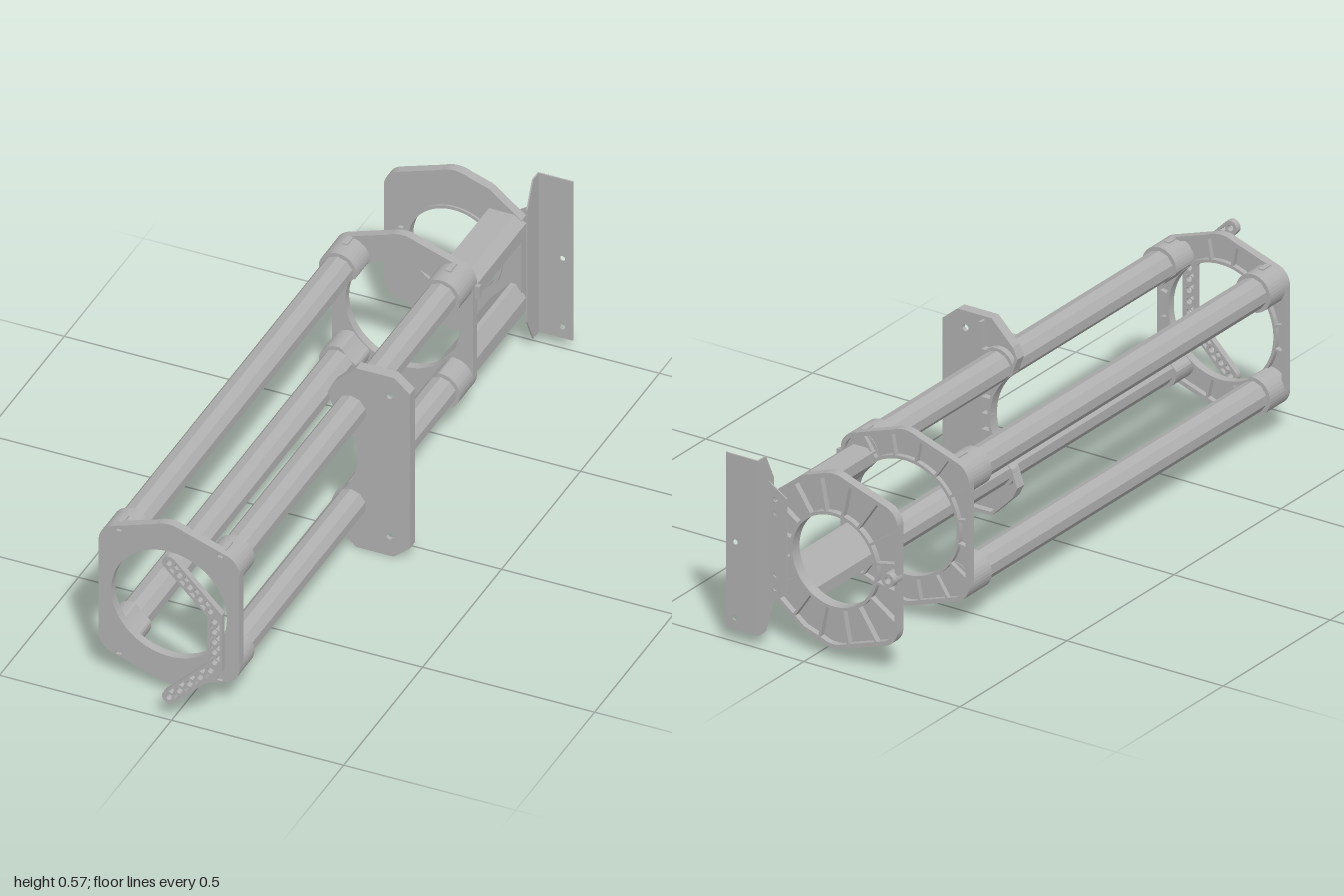
import * as THREE from 'three';

const CX = -0.058, CY = 0.287; // shared axis of the ring frames
const TAU = Math.PI * 2;

export function createModel() {
  const root = new THREE.Group();
  const grey = new THREE.MeshStandardMaterial({ color: 0xb0b0b0 });
  grey.name = 'grey plastic';

  const add = (parent, name, geometry) => {
    const m = new THREE.Mesh(geometry, grey);
    m.name = name;
    parent.add(m);
    return m;
  };
  const group = (name) => {
    const g = new THREE.Group();
    g.name = name;
    root.add(g);
    return g;
  };
  // Extrude a shape drawn in x and y between two z values
  const slab = (shape, z0, z1, seg = 16) =>
    new THREE.ExtrudeGeometry(shape, { depth: z1 - z0, bevelEnabled: false, curveSegments: seg }).translate(0, 0, z0);
  const box = (x0, x1, y0, y1, z0, z1) =>
    new THREE.BoxGeometry(x1 - x0, y1 - y0, z1 - z0).translate((x0 + x1) / 2, (y0 + y1) / 2, (z0 + z1) / 2);
  const circle = (x, y, r) => new THREE.Path().absarc(x, y, r, 0, TAU, true);
  const poly = (pts) => new THREE.Shape(pts.map(([x, y]) => new THREE.Vector2(x, y)));
  const ring = (r0, r1, z0, z1) => {
    const s = new THREE.Shape().absarc(CX, CY, r1, 0, TAU);
    s.holes.push(circle(CX, CY, r0));
    return slab(s, z0, z1, 64);
  };

  // Frame outline: peaked top and bottom, rounded corners
  const outlineShape = new THREE.Shape();
  const a = 1.257;
  outlineShape.moveTo(0.205, -0.15).lineTo(0.205, 0.15);
  outlineShape.absarc(0.15, 0.15, 0.055, 0, a);
  outlineShape.lineTo(0.04, 0.245).quadraticCurveTo(0, 0.265, -0.04, 0.245);
  outlineShape.absarc(-0.15, 0.15, 0.055, Math.PI - a, Math.PI);
  outlineShape.lineTo(-0.205, -0.15);
  outlineShape.absarc(-0.15, -0.15, 0.055, Math.PI, Math.PI + a);
  outlineShape.lineTo(-0.04, -0.245).quadraticCurveTo(0, -0.265, 0.04, -0.245);
  outlineShape.absarc(0.15, -0.15, 0.055, -a, 0);
  const cornerOutline = outlineShape.getPoints(8);
  // Rear plate: the mounting side has long diagonal corners
  const rearOutline = cornerOutline.filter((p) => p.x < 0.06);
  const split = rearOutline.findIndex((p) => p.y > 0);
  rearOutline.splice(split, 0, ...[[0.1, -0.225], [0.195, -0.15], [0.195, 0.15], [0.1, 0.225]]
    .map(([x, y]) => new THREE.Vector2(x, y)));
  rearOutline.sort((p, q) => Math.atan2(p.y, p.x) - Math.atan2(q.y, q.x));

  // Distance from the axis to an outline in one direction
  const reach = (pts, t) => {
    const dx = Math.cos(t), dy = Math.sin(t);
    let best = 0;
    pts.forEach((p, i) => {
      const q = pts[(i + 1) % pts.length], ex = q.x - p.x, ey = q.y - p.y;
      const den = dx * ey - dy * ex;
      if (Math.abs(den) < 1e-9) return;
      const d = (p.x * ey - p.y * ex) / den, u = (p.x * dy - p.y * dx) / den;
      if (u >= 0 && u <= 1) best = Math.max(best, d);
    });
    return best;
  };

  // Frame: thin front face, with rim, collar and radial ribs behind it
  function frame(name, pts, hole, zBack, zFront, notches) {
    const g = group(name);
    const scaled = (k) => pts.map((p) => new THREE.Vector2(CX + p.x * k, CY + p.y * k));
    const zMid = zFront - 0.01;
    const face = new THREE.Shape(scaled(1));
    face.holes.push(circle(CX, CY, hole));
    if (notches) for (const sx of [-1, 1]) for (const sy of [-1, 1]) {
      const x = CX + sx * 0.147, y = CY + sy * 0.198;
      face.holes.push(poly([[x - 0.008, y - 0.006], [x - 0.008, y + 0.006], [x + 0.008, y + 0.006], [x + 0.008, y - 0.006]]));
    }
    add(g, 'face', slab(face, zMid, zFront, 64));
    const rim = new THREE.Shape(scaled(1));
    rim.holes.push(new THREE.Path(scaled(0.95)));
    add(g, 'rim', slab(rim, zBack, zMid));
    add(g, 'collar', ring(hole, hole + 0.009, zBack, zMid));
    for (let i = 0; i < 16; i++) {
      const t = ((i + 0.5) / 16) * TAU, r0 = hole + 0.004, r1 = reach(pts, t) * 0.97;
      if (r1 - r0 < 0.02) continue;
      const rib = add(g, 'rib', new THREE.BoxGeometry(r1 - r0, 0.007, zMid - zBack).translate((r0 + r1) / 2, 0, 0));
      rib.position.set(CX, CY, (zMid + zBack) / 2);
      rib.rotation.z = t;
    }
    return g;
  }
  const front = frame('frontFrame', cornerOutline, 0.168, 0.864, 0.889, true);
  const middle = frame('middleFrame', cornerOutline, 0.166, -0.613, -0.588, true);
  const rear = frame('rearFrame', rearOutline, 0.132, -0.946, -0.918, false);

  // Round bar whose inner side is relieved to clear the ring opening
  function bar(cx, cy, r, sides, z0, z1) {
    const pts = [];
    for (let i = 0; i < sides; i++) {
      const t = ((i + 0.5) / sides) * TAU;
      const p = new THREE.Vector2(cx + r * Math.cos(t) - CX, cy + r * Math.sin(t) - CY);
      if (p.length() < 0.17) p.setLength(0.17);
      pts.push(p.add(new THREE.Vector2(CX, CY)));
    }
    return slab(new THREE.Shape(pts), z0, z1);
  }
  // Four long rails and their end sockets
  const rails = group('rails');
  for (const sx of [-1, 1]) for (const sy of [-1, 1]) {
    const x = CX + sx * 0.15, y = CY + sy * 0.15;
    add(rails, 'rail', bar(x, y, 0.045, 10, -0.59, 0.87));
    add(front, 'socket', bar(x, y, 0.055, 36, 0.795, 0.88));
    add(middle, 'socket', bar(x, y, 0.055, 36, -0.6, -0.505));
    // raised clip on the outside of each socket
    const yc = y + sy * 0.052;
    add(front, 'clip', box(x - 0.008, x + 0.008, yc - 0.006, yc + 0.006, 0.83, 0.87));
    add(middle, 'clip', box(x - 0.008, x + 0.008, yc - 0.006, yc + 0.006, -0.59, -0.55));
  }
  add(middle, 'sideTab', box(0.14, 0.16, 0.39, 0.43, -0.613, -0.6));

  // Two short beams from the middle frame to the rear frame
  const beams = group('rearBeams');
  for (const s of [-1, 1]) {
    const pts = [[0.042, 0.13], [0.042, 0.163], [0.115, 0.163], [0.147, 0.14], [0.147, 0.098], [0.12, 0.058], [0.105, 0.058]]
      .map(([x, y]) => [x, CY + s * y]);
    add(beams, 'beam', slab(poly(pts), -0.925, -0.6));
  }

  // Rear ring lip, tab and side knob
  add(rear, 'lip', ring(0.132, 0.141, -0.918, -0.912));
  add(rear, 'innerTab', box(-0.218, -0.204, 0.257, 0.32, -0.918, -0.908));
  const knob = new THREE.Shape().absarc(-0.245, CY, 0.02, 0, TAU);
  knob.holes.push(circle(-0.245, CY, 0.01));
  add(rear, 'knob', slab(knob, -0.966, -0.925));

  // Bent mounting sheet behind the rear frame
  const sheet = group('mountingSheet');
  const flange = poly([[0.147, 0.035], [0.25, 0.035], [0.25, 0.545], [0.147, 0.545]]);
  for (const y of [0.07, 0.29]) flange.holes.push(circle(0.22, y, 0.008));
  add(sheet, 'flange', slab(flange, -1, -0.996));
  const web = poly([[1, 0.035], [1, 0.545], [0.962, 0.545], [0.925, 0.47], [0.925, 0.11], [0.962, 0.035]]);
  add(sheet, 'web', slab(web, 0, 0.004).rotateY(Math.PI / 2).translate(0.147, 0, 0));
  const tab = poly([[0.09, 0.15], [0.15, 0.11], [0.15, 0.47], [0.09, 0.43]]);
  for (const y of [0.16, 0.2, 0.38, 0.42]) tab.holes.push(circle(0.125, y, 0.007));
  add(sheet, 'tab', slab(tab, -0.95, -0.946));

  // Side bracket clamped on the right pair of rails
  const bracket = group('sideBracket');
  const arcTo = Math.atan2(0.135, 0.1);
  const edge = (inset) => {
    const s = new THREE.Shape();
    const i = inset, r = 0.17 + i;
    s.moveTo(0.107 + i * 0.4, i).lineTo(0.217 - i * 0.4, i).lineTo(0.264 - i, 0.04 + i * 0.4);
    s.lineTo(0.264 - i, 0.535 - i * 0.4).lineTo(0.217 - i * 0.4, 0.574 - i).lineTo(0.107 + i * 0.4, 0.574 - i);
    s.lineTo(0.04 + i, 0.507).lineTo(0.025 + i, 0.475);
    s.absarc(CX, CY, r, arcTo, -arcTo, true);
    s.lineTo(0.025 + i, 0.099).lineTo(0.04 + i, 0.067);
    return s;
  };
  const plate = edge(0);
  for (const y of [0.062, 0.513]) plate.holes.push(circle(0.205, y, 0.01));
  add(bracket, 'plate', slab(plate, 0.054, 0.066));
  const wall = edge(0);
  wall.holes.push(new THREE.Path(edge(0.009).getPoints(16)));
  add(bracket, 'rim', slab(wall, 0.034, 0.054));
  add(bracket, 'spine', box(0.14, 0.149, 0.02, 0.554, 0.034, 0.054));
  for (const y of [0.1, 0.193, 0.24, 0.287, 0.334, 0.381, 0.474]) {
    add(bracket, 'rib', box(Math.abs(y - CY) > 0.11 ? 0.06 : 0.11, 0.145, y - 0.003, y + 0.003, 0.034, 0.054));
  }
  for (const s of [-1, 1]) add(bracket, 'clamp', bar(CX + 0.15, CY + s * 0.15, 0.053, 36, 0.036, 0.056));

  // Perforated angled strap in front
  const strap = new THREE.Shape();
  const Q = Math.PI / 4, w = 0.021;
  strap.moveTo(0.146, 0.195).lineTo(0.146, 0.379);
  strap.absarc(-0.007, 0.502, w, Q, 5 * Q);
  strap.lineTo(0.104, 0.361).lineTo(0.104, 0.213);
  strap.absarc(-0.007, 0.072, w, 3 * Q, 7 * Q);
  // Run of round holes with a pair of trapezoid holes between neighbours
  const perforate = (x, y, dx, dy, step, n) => {
    for (let k = 0; k < n; k++) {
      strap.holes.push(circle(x + dx * step * k, y + dy * step * k, 0.009));
      if (k === n - 1) break;
      const mx = x + dx * step * (k + 0.5), my = y + dy * step * (k + 0.5);
      for (const s of [-1, 1]) {
        strap.holes.push(poly([[-0.005, 0.004], [0.005, 0.004], [0.01, 0.014], [-0.01, 0.014]]
          .map(([u, v]) => [mx + dx * u - dy * v * s, my + dy * u + dx * v * s])));
      }
    }
  };
  perforate(-0.007, 0.502, Math.SQRT1_2, -Math.SQRT1_2, 0.0425, 5);
  perforate(-0.007, 0.072, Math.SQRT1_2, Math.SQRT1_2, 0.0425, 5);
  perforate(0.125, 0.352, 0, -1, 0.0325, 5);
  add(root, 'perforatedStrap', slab(strap, 0.982, 1));

  return root;
}
